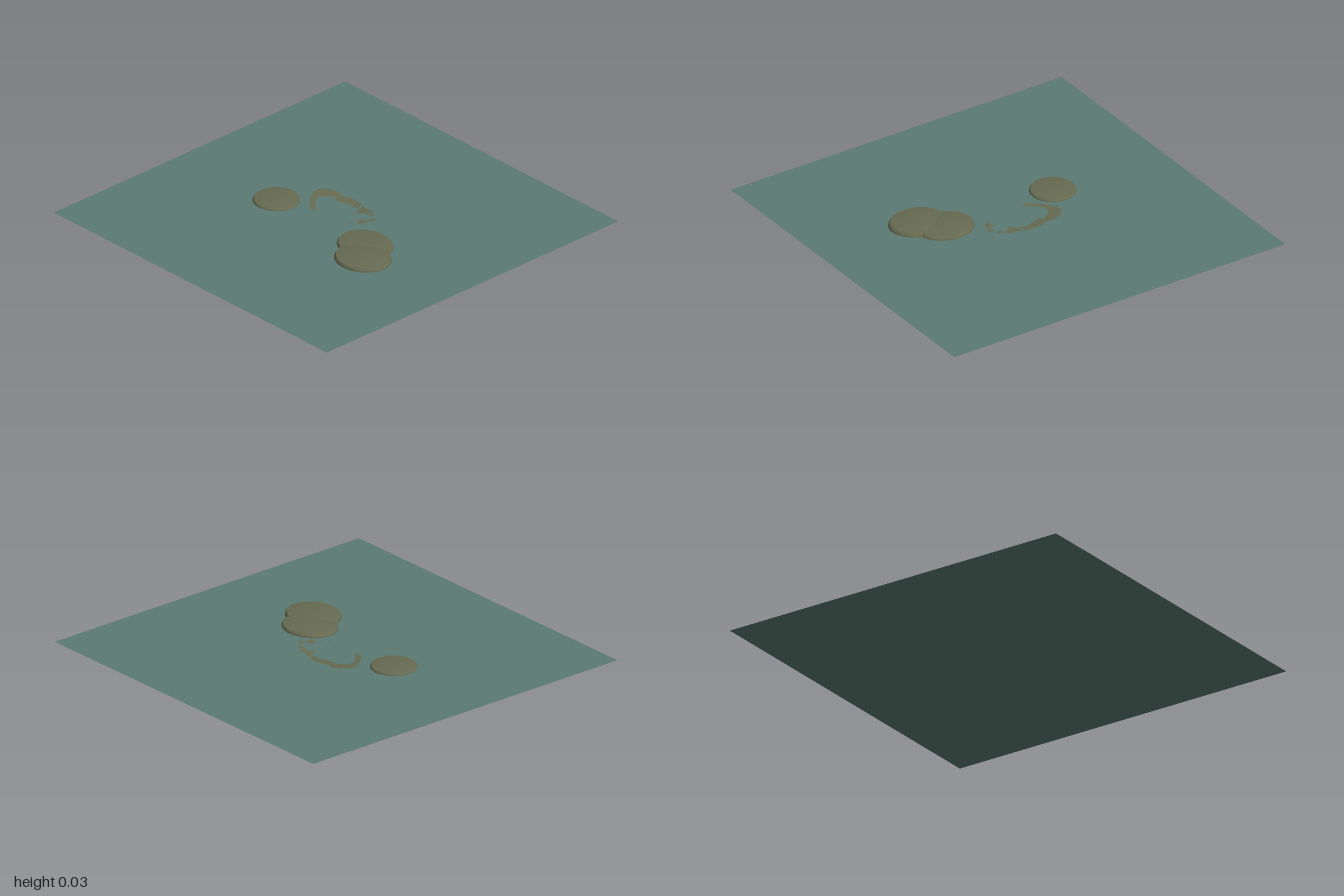
import * as THREE from 'three';

export function createModel() {
  const model = new THREE.Group();
  const water = new THREE.MeshStandardMaterial({ color: 0x5c7a73, side: THREE.DoubleSide });
  water.name = 'water';
  const land = new THREE.MeshStandardMaterial({ color: 0x676b51, side: THREE.DoubleSide, flatShading: true });
  land.name = 'land';

  const add = (name, geometry, material) => {
    const mesh = new THREE.Mesh(geometry, material);
    mesh.name = name;
    model.add(mesh);
    return mesh;
  };

  // Flat sheet of water
  add('waterSurface', new THREE.PlaneGeometry(2, 2).rotateX(-Math.PI / 2), water);

  // Low domed islands: steep shore, then a gently rising top
  const island = (name, x, z, rx, rz, height) => {
    const profile = [[1, 0], [0.985, 0.3], [0.94, 0.6], [0.6, 0.85], [0.25, 0.97], [0, 1]]
      .map(([r, y]) => new THREE.Vector2(r, y));
    const mesh = add(name, new THREE.LatheGeometry(profile, 28), land);
    mesh.scale.set(rx, height, rz);
    mesh.position.set(x, 0, z);
  };
  island('smallIsland', -0.335, 0.095, 0.12, 0.12, 0.02);
  island('largeIslandBack', 0.315, 0.095, 0.155, 0.132, 0.026);
  island('largeIslandFront', 0.41, 0.2, 0.155, 0.135, 0.03);

  // Broken reef ring: thin ragged sheets, given as x, z outlines
  const pieces = [
    [[-0.11, 0.05], [-0.16, 0.035], [-0.2, -0.01], [-0.245, -0.07], [-0.25, -0.11], [-0.21, -0.155],
      [-0.165, -0.17], [-0.125, -0.16], [-0.13, -0.125], [-0.18, -0.095], [-0.195, -0.05], [-0.165, -0.01], [-0.115, 0.025]],
    [[-0.125, -0.16], [-0.085, -0.175], [-0.04, -0.18], [-0.025, -0.13], [-0.075, -0.12], [-0.125, -0.105]],
    [[-0.035, -0.18], [0.01, -0.17], [0.015, -0.125], [-0.02, -0.13]],
    [[0.02, -0.17], [0.05, -0.155], [0.1, -0.16], [0.105, -0.12], [0.07, -0.115], [0.06, -0.085], [0.03, -0.125]],
    [[0.11, -0.145], [0.15, -0.125], [0.135, -0.11], [0.11, -0.12]],
    [[0.15, -0.1], [0.18, -0.105], [0.18, -0.07], [0.155, -0.07]],
    [[0.12, -0.055], [0.165, -0.065], [0.165, -0.025], [0.125, -0.015]],
    [[0.1, 0.005], [0.125, 0], [0.12, 0.012]],
    [[0.02, 0.018], [0.045, 0.014], [0.04, 0.024]],
    [[-0.05, 0.022], [-0.02, 0.02], [-0.03, 0.028]],
  ];
  pieces.forEach((outline, i) => {
    const shape = new THREE.Shape(outline.map(([x, z]) => new THREE.Vector2(x, -z)));
    const geometry = new THREE.ShapeGeometry(shape).rotateX(-Math.PI / 2);
    const p = geometry.attributes.position;
    // Sheets rise slightly toward the outside of the ring
    for (let k = 0; k < p.count; k++) {
      const d = Math.hypot(p.getX(k) + 0.03, p.getZ(k) + 0.06);
      p.setY(k, THREE.MathUtils.clamp(0.004 + (d - 0.05) * 0.09, 0.004, 0.018));
    }
    geometry.computeVertexNormals();
    add('reefPiece' + (i + 1), geometry, land);
  });

  return model;
}
